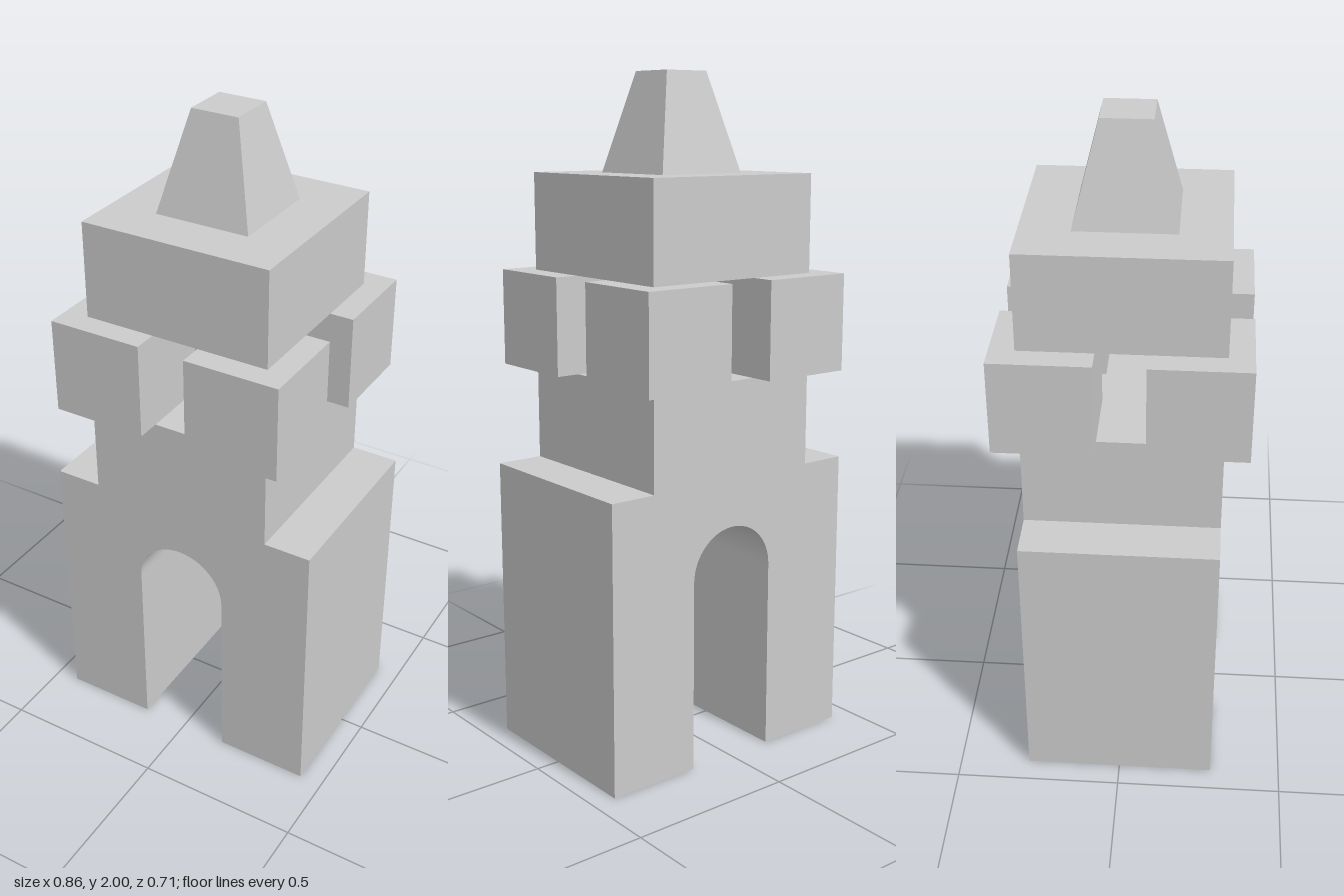
import * as THREE from 'three';

const U = 2 / 14; // building module: the tower is 14 modules tall

export function createModel() {
  const group = new THREE.Group();
  const material = new THREE.MeshStandardMaterial({ color: 0xcccccc, flatShading: true });

  function add(name, geometry, x, y, z) {
    const mesh = new THREE.Mesh(geometry, material);
    mesh.name = name;
    mesh.position.set(x * U, y * U, z * U);
    group.add(mesh);
  }

  // Gatehouse: stepped outline with a round-headed passage, extruded front to back
  const outline = new THREE.Shape();
  outline.moveTo(-3 * U, 0);
  outline.lineTo(-U, 0);
  outline.lineTo(-U, 4 * U);
  outline.absarc(0, 4 * U, U, Math.PI, 0, true);
  for (const [x, y] of [[1, 0], [3, 0], [3, 6], [2, 6], [2, 8], [-2, 8], [-2, 6], [-3, 6]]) {
    outline.lineTo(x * U, y * U);
  }
  const gatehouse = new THREE.ExtrudeGeometry(outline, {
    depth: 4 * U, bevelEnabled: false, curveSegments: 16,
  });
  add('archedGatehouse', gatehouse, 0, 0, -2);

  // Four overhanging corner blocks with open gaps between them
  const block = new THREE.BoxGeometry(2 * U, 2 * U, 2 * U);
  for (const x of [-1.5, 1.5]) {
    for (const z of [-1.5, 1.5]) {
      add(`${z > 0 ? 'front' : 'back'}${x > 0 ? 'Left' : 'Right'}Block`, block, x, 9, z);
    }
  }

  // Upper storey
  add('upperStorey', new THREE.BoxGeometry(4 * U, 2 * U, 4 * U), 0, 11, 0);

  // Square tapered spire with a flat top
  const spire = new THREE.CylinderGeometry(0.5 * U * Math.SQRT2, U * Math.SQRT2, 2 * U, 4);
  spire.rotateY(Math.PI / 4);
  add('spire', spire, 0, 13, 0);

  return group;
}
